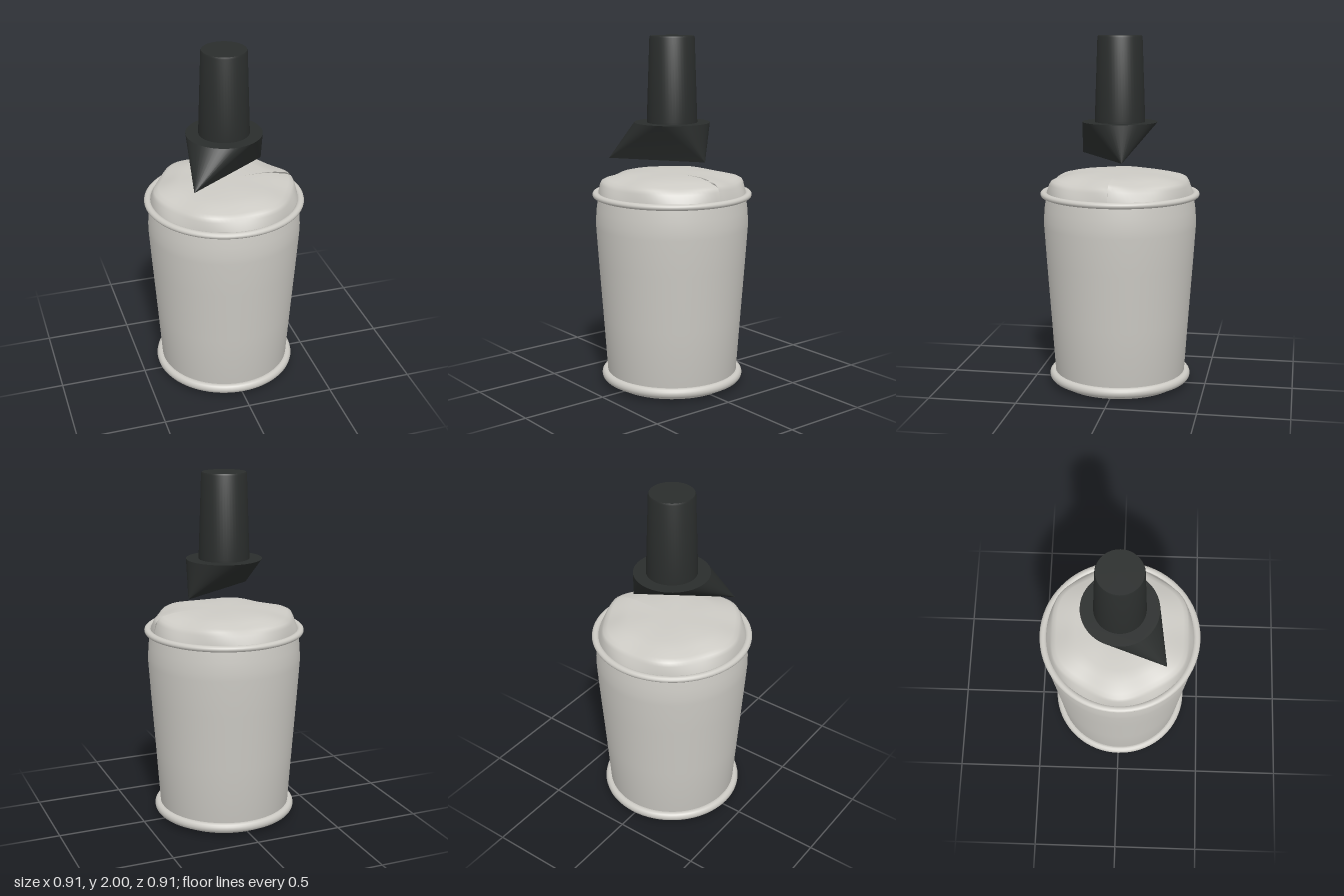
import * as THREE from 'three';
import { toCreasedNormals } from 'three/addons/utils/BufferGeometryUtils.js';
import { ConvexGeometry } from 'three/addons/geometries/ConvexGeometry.js';

const metal = new THREE.MeshStandardMaterial({ color: 0xcccac4, side: THREE.DoubleSide });
const black = new THREE.MeshStandardMaterial({ color: 0x2a2d2c });

function part(name, geometry, material) {
  const mesh = new THREE.Mesh(geometry, material);
  mesh.name = name;
  return mesh;
}

function lathe(points, segments = 64) {
  return new THREE.LatheGeometry(points.map(([r, y]) => new THREE.Vector2(r, y)), segments);
}

// Rolled bead around the can
function bead(name, radius, tube, y, height) {
  const g = new THREE.TorusGeometry(radius, tube, 14, 72);
  g.rotateX(Math.PI / 2);
  g.scale(1, height / (2 * tube), 1);
  g.translate(0, y, 0);
  return part(name, g, metal);
}

// Dented lid: the shoulder bulges six ways and steps where its seam meets at +x
function lidGeometry() {
  const profile = [[0.42, 1.1], [0.419, 1.13], [0.41, 1.175], [0.4, 1.195], [0.375, 1.207], [0.31, 1.222], [0.25, 1.233], [0.12, 1.235], [0, 1.235]];
  const dent = [0, 0.25, 0.8, 1, 1, 0.8, 0.3, 0, 0];
  const g = lathe(profile, 96);
  const p = g.attributes.position;
  for (let i = 0; i < p.count; i++) {
    const j = i % profile.length;
    const turn = Math.floor(i / profile.length) / 96;
    const wave = 0.5 - 0.5 * Math.cos(turn * Math.PI * 12);
    const step = Math.exp(-turn * 25);
    const k = 1 - dent[j] * (0.06 * wave + 0.025 * step);
    p.setXYZ(i, p.getX(i) * k, p.getY(i) + dent[j] * (0.012 * step - 0.008 * wave), p.getZ(i) * k);
  }
  g.rotateY(Math.PI / 2);
  g.computeVertexNormals();
  return g;
}

// Collar: round at the top, drawn down to one slanting straight edge
function collarGeometry() {
  const points = [new THREE.Vector3(-0.245, 1.312, 0.262), new THREE.Vector3(0.232, 1.312, -0.048)];
  for (let i = 0; i < 48; i++) {
    const a = (i / 48) * Math.PI * 2;
    points.push(new THREE.Vector3(0.213 * Math.cos(a), 1.52, 0.213 * Math.sin(a)));
  }
  return toCreasedNormals(new ConvexGeometry(points), 0.5);
}

export function createModel() {
  const model = new THREE.Group();
  model.name = 'container';

  // Tapered can with a closed base
  const body = [[0, 0.005], [0.345, 0.005], [0.35, 0.008], [0.365, 0.035], [0.375, 0.08],
    [0.397, 0.4], [0.42, 0.72], [0.434, 0.93], [0.434, 0.97], [0.43, 1.03], [0.42, 1.1]];
  model.add(part('body', toCreasedNormals(lathe(body), 0.6), metal));
  model.add(bead('baseBead', 0.383, 0.025, 0.055, 0.054));
  model.add(bead('topBead', 0.433, 0.02, 1.112, 0.034));
  model.add(part('lid', lidGeometry(), metal));

  // Dark collar and handle above the lid
  model.add(part('collar', collarGeometry(), black));
  const handle = [[0, 1.515], [0.142, 1.515], [0.142, 1.53], [0.126, 1.99], [0.122, 2], [0, 2]];
  model.add(part('handle', toCreasedNormals(lathe(handle, 48), 0.5), black));

  return model;
}
